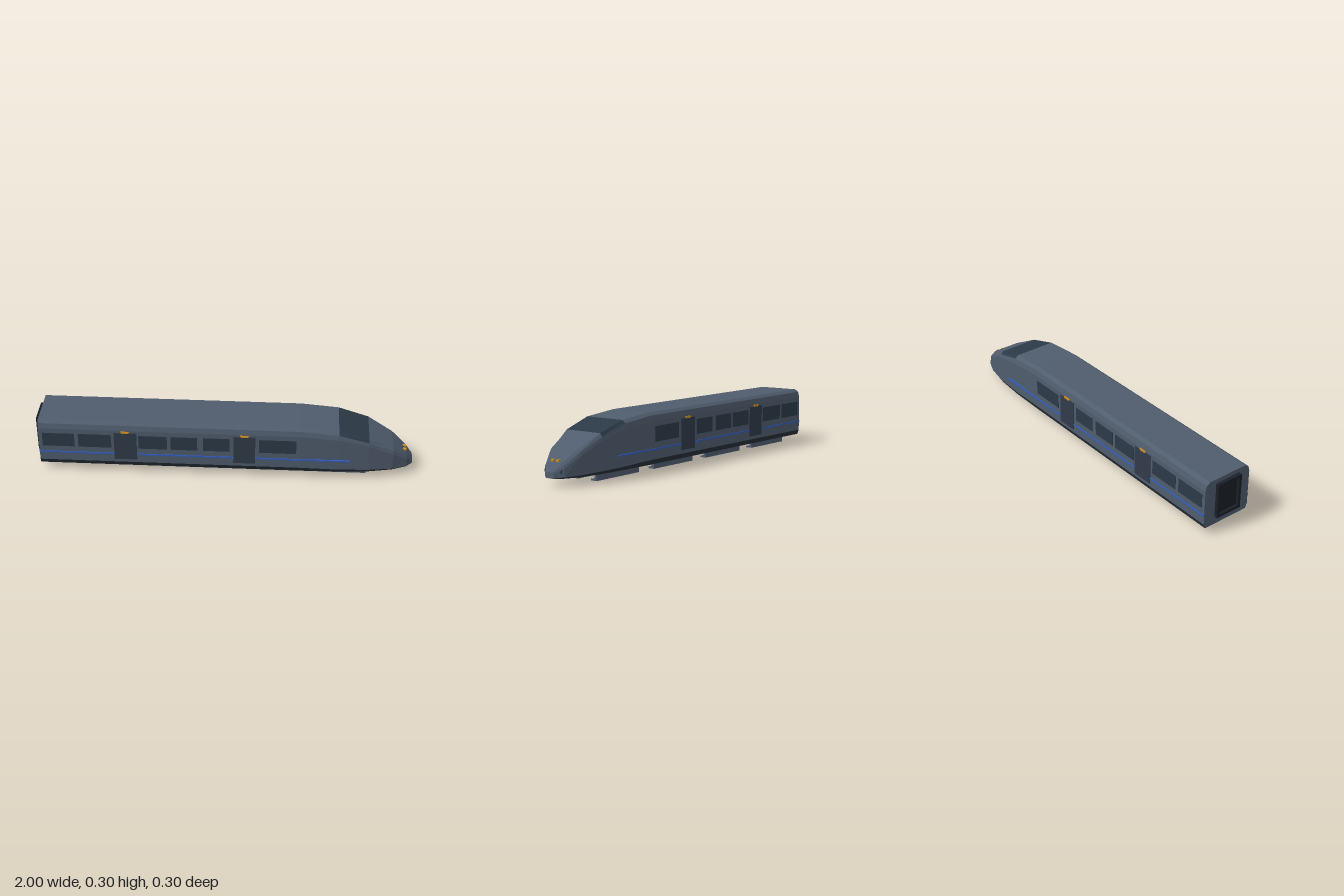
import * as THREE from 'three';

const mat = (name, color, side = THREE.FrontSide) => {
  const m = new THREE.MeshStandardMaterial({ color, side, flatShading: true });
  m.name = name;
  return m;
};

export function createModel() {
  const body = mat('slate body', 0x505d6e);
  const skirtMat = mat('dark skirt', 0x26303a);
  const glass = mat('dark glass', 0x2c3a48);
  const doorMat = mat('door grey', 0x303b49);
  const blue = mat('stripe blue', 0x2f5cc4);
  const amber = mat('amber lamp', 0xd4921c);
  const black = mat('gangway black', 0x1a2028);

  const train = new THREE.Group();
  train.name = 'train';
  const add = (name, geometry, material) => {
    const mesh = new THREE.Mesh(geometry, material);
    mesh.name = name;
    train.add(mesh);
    return mesh;
  };
  // box given by its limits on each axis
  const box = (name, material, x0, x1, y0, y1, z0, z1) => {
    const mesh = add(name, new THREE.BoxGeometry(x1 - x0, y1 - y0, z1 - z0), material);
    mesh.position.set((x0 + x1) / 2, (y0 + y1) / 2, (z0 + z1) / 2);
    return mesh;
  };

  // hull half sections: x, then [z, y] from bottom edge to roof edge
  const stations = [
    [-0.98, [0.133, 0.04], [0.143, 0.066], [0.143, 0.262], [0.135, 0.29], [0.115, 0.304]],
    [0.4, [0.133, 0.04], [0.143, 0.066], [0.143, 0.262], [0.135, 0.29], [0.115, 0.304]],
    [0.6, [0.13, 0.04], [0.139, 0.06], [0.14, 0.245], [0.133, 0.272], [0.115, 0.287]],
    [0.76, [0.118, 0.04], [0.125, 0.055], [0.125, 0.205], [0.121, 0.222], [0.109, 0.239]],
    [0.89, [0.092, 0.04], [0.1, 0.05], [0.1, 0.142], [0.094, 0.16], [0.076, 0.172]],
    [0.965, [0.06, 0.04], [0.066, 0.047], [0.063, 0.09], [0.057, 0.103], [0.043, 0.112]],
    [1.0, [0.025, 0.04], [0.027, 0.043], [0.027, 0.058], [0.026, 0.066], [0.023, 0.07]],
  ];
  const rings = stations.map(([x, ...half]) => [
    ...half.map(([z, y]) => [x, y, z]),
    ...half.slice().reverse().map(([z, y]) => [x, y, -z]),
  ]);
  const faces = { hull: [], skirt: [], windshield: [] };
  for (let i = 0; i < rings.length - 1; i++) {
    for (let k = 0; k < 10; k++) {
      const n = (k + 1) % 10;
      const [a, b, c, d] = [rings[i][k], rings[i + 1][k], rings[i + 1][n], rings[i][n]];
      const part = k === 0 || k >= 8 ? 'skirt' : i === 2 && k >= 3 && k <= 5 ? 'windshield' : 'hull';
      faces[part].push(...a, ...b, ...c, ...a, ...c, ...d);
    }
  }
  // flat rear wall and nose tip
  const rear = rings[0], tip = rings[rings.length - 1];
  for (let k = 1; k < 9; k++) {
    faces.hull.push(...rear[0], ...rear[k], ...rear[k + 1]);
    faces.hull.push(...tip[0], ...tip[k + 1], ...tip[k]);
  }
  const partMaterials = { hull: body, skirt: skirtMat, windshield: glass };
  for (const part in faces) {
    const g = new THREE.BufferGeometry();
    g.setAttribute('position', new THREE.Float32BufferAttribute(faces[part], 3));
    g.computeVertexNormals();
    add(part, g, partMaterials[part]);
  }
  box('underfloor', skirtMat, -0.9, 0.85, 0.032, 0.041, -0.062, 0.062);

  // rear gangway: open frame around a recessed door
  const frame = new THREE.Shape();
  const outline = [[-0.075, 0.085], [0.075, 0.085], [0.075, 0.28], [-0.075, 0.28]];
  frame.setFromPoints(outline.map(([z, y]) => new THREE.Vector2(z, y)));
  const opening = [[-0.06, 0.1], [-0.06, 0.265], [0.06, 0.265], [0.06, 0.1]];
  frame.holes.push(new THREE.Path(opening.map(([z, y]) => new THREE.Vector2(z, y))));
  const gangway = new THREE.ExtrudeGeometry(frame, { depth: 0.02, bevelEnabled: false });
  gangway.rotateY(-Math.PI / 2).translate(-0.98, 0, 0);
  add('gangwayFrame', gangway, black);
  box('gangwayDoor', black, -0.985, -0.979, 0.1, 0.265, -0.06, 0.06);

  // trapezoid lamp hood: wider at the top
  const lampGeometry = (width, height, depth) => {
    const s = new THREE.Shape();
    s.moveTo(-width * 0.38, 0).lineTo(width * 0.38, 0).lineTo(width / 2, height).lineTo(-width / 2, height);
    return new THREE.ExtrudeGeometry(s, { depth, bevelEnabled: false });
  };

  const windows = [[-0.96, -0.79], [-0.77, -0.595], [-0.45, -0.3], [-0.28, -0.14], [-0.11, 0.03], [0.185, 0.38]];
  const doors = [[-0.58, -0.46], [0.05, 0.165]];
  const stripes = [[-0.98, -0.58], [-0.46, 0.05], [0.165, 0.66]];
  const rails = [[-0.9, -0.58], [-0.46, -0.14], [-0.02, 0.31], [0.43, 0.755]];
  for (const side of [1, -1]) {
    // panel with mirrored depth limits
    const panel = (name, material, x0, x1, y0, y1, z0, z1) =>
      box(name, material, x0, x1, y0, y1, Math.min(side * z0, side * z1), Math.max(side * z0, side * z1));
    for (const [a, b] of windows) panel('window', glass, a, b, 0.155, 0.235, 0.141, 0.1445);
    for (const [a, b] of doors) {
      panel('door', doorMat, a, b, 0.085, 0.25, 0.14, 0.1465);
      const lamp = add('doorLamp', lampGeometry(0.046, 0.011, 0.008), amber);
      lamp.position.set((a + b) / 2, 0.248, side > 0 ? 0.14 : -0.148);
    }
    for (const [a, b] of stripes) panel('stripe', blue, a, b, 0.115, 0.122, 0.139, 0.147);
    // L-shaped bogie rails
    for (const [a, b] of rails) {
      panel('bogieRail', body, a, b, 0, 0.041, 0.064, 0.078);
      panel('bogieFoot', body, a, b, 0, 0.008, 0.042, 0.064);
    }
    // nose details
    const head = add('headlight', lampGeometry(0.016, 0.01, 0.02), amber);
    head.rotation.y = Math.PI / 2;
    head.position.set(0.945, 0.116, side * 0.017);
    panel('noseSlit', skirtMat, 0.968, 0.978, 0.064, 0.08, 0.049, 0.054);
  }
  return train;
}
